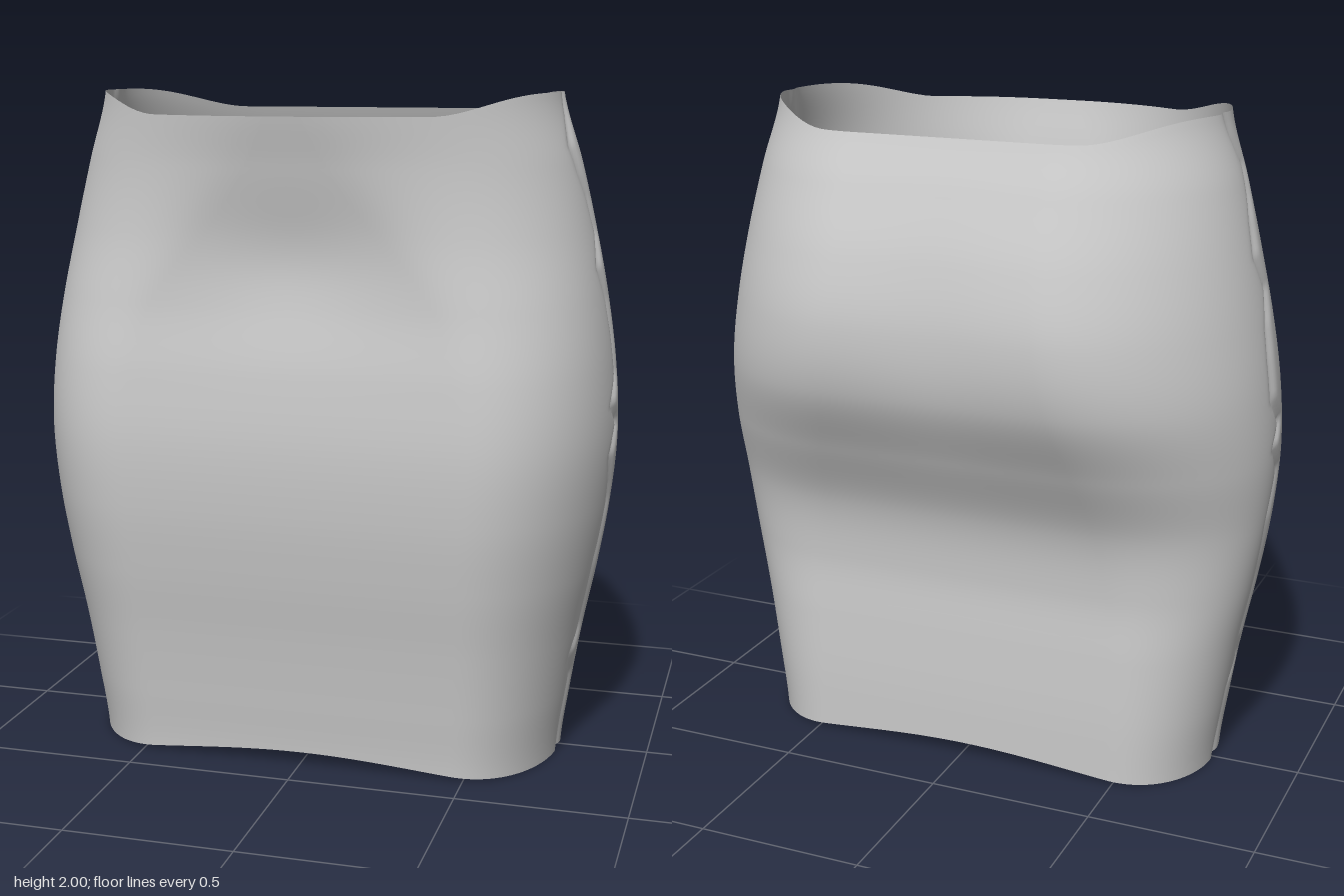
import * as THREE from 'three';

const ROWS = 120, ARC = 36, FLAT = 10;
const QUARTER = ARC + FLAT, SEGS = QUARTER * 4;

// Profile sampled evenly from y = 0 to y = 2, smoothed by a spline.
function profile(values) {
  const n = values.length - 1;
  const spline = new THREE.SplineCurve(values.map((v, i) => new THREE.Vector2((2 * i) / n, v)));
  return (y) => spline.getPoint(THREE.MathUtils.clamp(y / 2, 0, 1)).y;
}

const halfWidth = profile([0.73, 0.757, 0.79, 0.83, 0.862, 0.878, 0.868, 0.84, 0.8, 0.752, 0.695]);
// Each half: depth, half-length of its flat panel, and roundness of its corners (2 is an ellipse).
const FRONT = {
  depth: profile([0.377, 0.402, 0.432, 0.467, 0.494, 0.504, 0.492, 0.47, 0.472, 0.5, 0.54]),
  flat: profile([0.46, 0.47, 0.48, 0.49, 0.5, 0.5, 0.48, 0.42, 0.28, 0.13, 0.04]),
  round: profile([2, 2, 2, 2, 2, 2, 2, 2, 2, 2, 2]),
};
const BACK = {
  depth: profile([0.295, 0.297, 0.293, 0.289, 0.32, 0.412, 0.506, 0.53, 0.495, 0.425, 0.35]),
  flat: profile([0.48, 0.48, 0.48, 0.47, 0.44, 0.4, 0.35, 0.32, 0.3, 0.3, 0.3]),
  round: profile([2, 2, 2, 2, 1.95, 1.9, 1.85, 1.8, 1.8, 1.8, 1.8]),
};

// Puckered side seam as (height, z) points.
const SEAM = [[0, 0.02], [0.1, 0.03], [0.25, 0.03], [0.33, 0.08], [0.4, 0.04], [0.6, 0.05], [0.8, 0.03],
  [0.85, 0.04], [0.95, 0.07], [1.04, 0.01], [1.1, 0.07], [1.18, 0], [1.3, 0], [1.4, 0.01], [1.5, 0.05],
  [1.6, 0], [1.7, 0.02], [1.77, 0.05], [1.85, 0.07], [1.94, 0.02], [2, 0]];

function seamZ(y) {
  let i = 0;
  while (i < SEAM.length - 2 && SEAM[i + 1][0] < y) i++;
  const [y0, z0] = SEAM[i], [y1, z1] = SEAM[i + 1];
  return THREE.MathUtils.lerp(z0, z1, THREE.MathUtils.clamp((y - y0) / (y1 - y0), 0, 1));
}

// Point of the section in one quarter: step 0 is the side, step QUARTER the middle of the panel.
function quarterPoint(half, y, step) {
  const w = halfWidth(y), d = half.depth(y), p = half.flat(y);
  if (step >= ARC) return [p * (1 - (step - ARC) / FLAT), d];
  const a = (Math.PI / 2) * (step / ARC) ** 1.4, e = 2 / half.round(y);
  return [p + (w - p) * Math.cos(a) ** e, d * Math.sin(a) ** e];
}

// Column i runs from the left side over the front, the right side and the back.
function sectionPoint(y, i) {
  const quarter = Math.floor(i / QUARTER), k = i % QUARTER;
  const step = quarter % 2 ? QUARTER - k : k;
  const [x, z] = quarterPoint(quarter < 2 ? FRONT : BACK, y, step);
  return [quarter === 0 || quarter === 3 ? x : -x, quarter < 2 ? z : -z];
}

const bump = (v, centre, size) => Math.exp(-(((v - centre) / size) ** 2));

function skirtGeometry() {
  const positions = [], index = [];
  for (let j = 0; j <= ROWS; j++) {
    const v = j / ROWS;
    for (let i = 0; i < SEGS; i++) {
      // Hem and waist both curve across the width.
      const across = Math.abs(sectionPoint(2 * v, i)[0]) / halfWidth(2 * v);
      const hem = 0.005 + 0.04 * Math.cos((across * Math.PI) / 2) ** 2;
      const waist = 1.94 + 0.06 * THREE.MathUtils.smoothstep(across, 0.55, 0.98);
      const y = THREE.MathUtils.lerp(hem, waist, v);
      let [x, z] = sectionPoint(y, i);
      // Pinched groove along the side seam.
      x *= 1 - 0.016 * bump(z, seamZ(y), 0.025);
      // Shallow hollows in the middle of the front and the back.
      if (z > 0) z -= 0.02 * bump(x, 0, 0.25) * bump(y, 1.53, 0.17);
      else z += 0.012 * bump(x, 0, 0.18) * bump(y, 1.4, 0.3);
      positions.push(x, y, z);
    }
  }
  for (let j = 0; j < ROWS; j++) {
    for (let i = 0; i < SEGS; i++) {
      const a = j * SEGS + i, b = j * SEGS + ((i + 1) % SEGS);
      index.push(a, a + SEGS, b, b, a + SEGS, b + SEGS);
    }
  }
  const geometry = new THREE.BufferGeometry();
  geometry.setAttribute('position', new THREE.Float32BufferAttribute(positions, 3));
  geometry.setIndex(index);
  geometry.computeVertexNormals();
  return geometry;
}

export function createModel() {
  const group = new THREE.Group();
  group.name = 'skirt';
  // Open tube of cloth, seen from both sides.
  const material = new THREE.MeshStandardMaterial({ color: 0xcccccc, side: THREE.DoubleSide });
  const cloth = new THREE.Mesh(skirtGeometry(), material);
  cloth.name = 'skirtCloth';
  group.add(cloth);
  return group;
}
